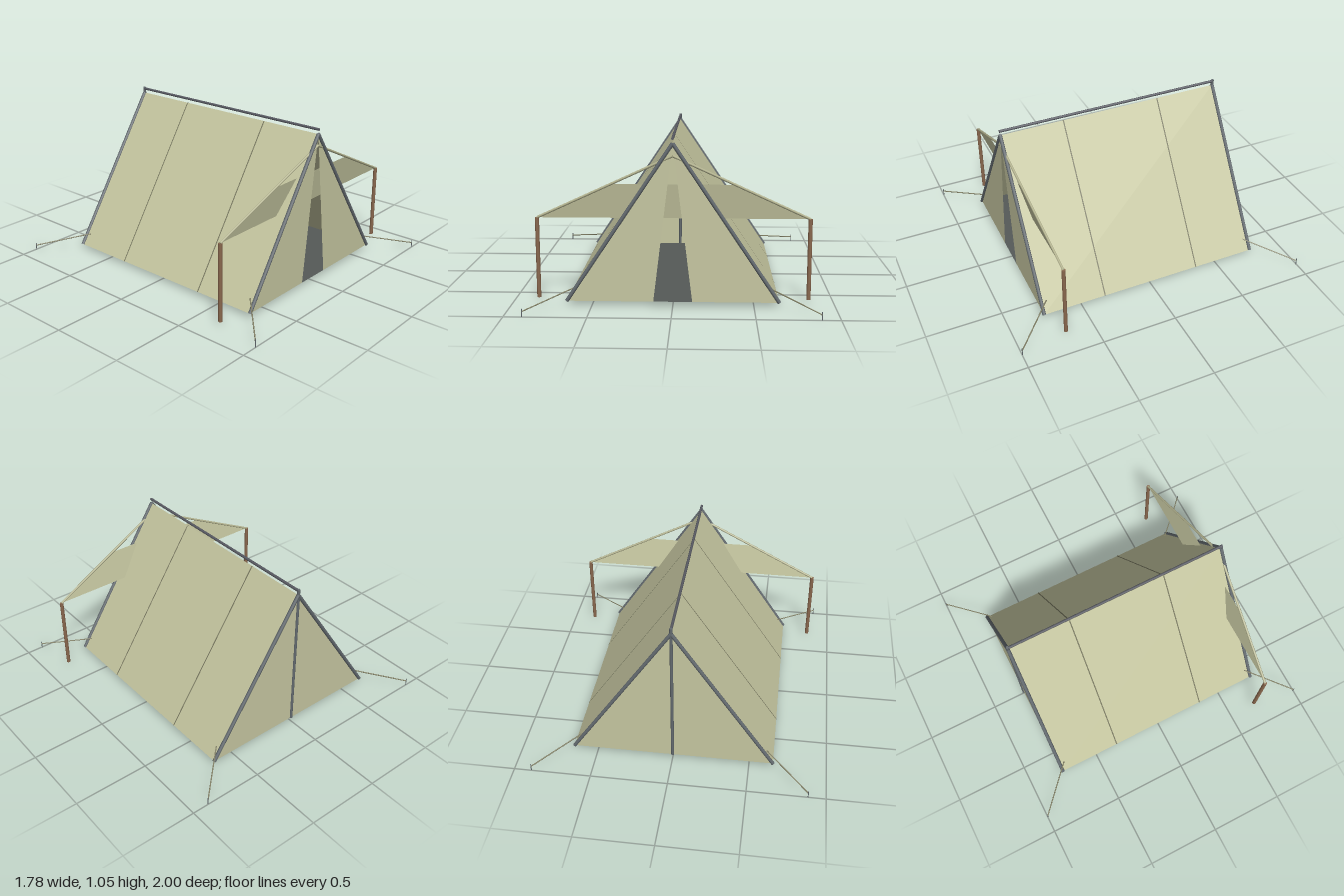
import * as THREE from 'three';

const mat = (name, color, side = THREE.FrontSide) => {
  const m = new THREE.MeshStandardMaterial({ color, side });
  m.name = name;
  return m;
};

export function createModel() {
  const canvas = mat('khaki canvas', 0xc5c6a0, THREE.DoubleSide);
  const trim = mat('khaki awning rod', 0xb4b490);
  const seamMat = mat('dark khaki seam', 0x77775f, THREE.DoubleSide);
  const metal = mat('grey frame metal', 0x646b70);
  const ridgeMetal = mat('dark ridge metal', 0x595b63);
  const wood = mat('brown wood', 0x8a684e);
  const rope = mat('rope', 0x8a886c);
  const ground = mat('dark groundsheet', 0x555a58, THREE.DoubleSide);

  const model = new THREE.Group();
  model.name = 'ridgeTent';

  const W = 0.655, D = 0.765, BASE = 0.03, TOP = 1.01;

  const add = (name, geometry, material) => {
    const mesh = new THREE.Mesh(geometry, material);
    mesh.name = name;
    model.add(mesh);
    return mesh;
  };

  // Flat convex sheet from its corners in order
  const sheet = (name, points, material) => {
    const g = new THREE.BufferGeometry();
    g.setAttribute('position', new THREE.Float32BufferAttribute(points.flat(), 3));
    const index = [];
    for (let i = 1; i < points.length - 1; i++) index.push(0, i, i + 1);
    g.setIndex(index);
    g.computeVertexNormals();
    return add(name, g, material);
  };

  // Round bar between two points
  const bar = (name, a, b, radius, material, sides = 8) => {
    const p = new THREE.Vector3(...a), q = new THREE.Vector3(...b);
    const dir = q.clone().sub(p);
    const mesh = add(name, new THREE.CylinderGeometry(radius, radius, dir.length(), sides), material);
    mesh.position.copy(p).add(q).multiplyScalar(0.5);
    mesh.quaternion.setFromUnitVectors(new THREE.Vector3(0, 1, 0), dir.normalize());
    return mesh;
  };

  // Groundsheet and back wall
  sheet('groundsheet', [[-W, BASE, D], [W, BASE, D], [W, BASE, -D], [-W, BASE, -D]], ground);
  sheet('backWall', [[W, BASE, -D], [-W, BASE, -D], [0, TOP, -D]], canvas);

  for (const s of [1, -1]) {
    const side = s > 0 ? 'left' : 'right';
    const order = (pts) => (s > 0 ? pts : pts.reverse());

    // Sloping roof and the front panel beside the narrow door gap
    sheet(side + 'Roof', order([[s * W, BASE, D], [s * W, BASE, -D], [0, TOP, -D], [0, TOP, D]]), canvas);
    sheet(side + 'FrontPanel', order([[s * 0.12, BASE, D], [s * W, BASE, D], [0, TOP, D]]), canvas);

    // Seams running down the roof
    for (const z of [0.338, -0.338]) {
      const w = 0.004, o = 0.002;
      sheet(side + 'RoofSeam', order([
        [s * (W + o), BASE, z + w], [s * (W + o), BASE, z - w],
        [s * o, TOP, z - w], [s * o, TOP, z + w]]), seamMat);
    }

    // Slanted frame poles at both ends
    for (const z of [D, -D])
      bar(side + 'FramePole', [s * W, BASE, z], [0, TOP, z], 0.012, metal);

    // Awning post and rod
    bar(side + 'AwningPost', [s * 0.84, BASE, 0.69], [s * 0.84, 0.54, 0.69], 0.013, wood);
    bar(side + 'AwningRod', [0, 0.935, 0.765], [s * 0.84, 0.54, 0.69], 0.008, trim);

    // Corner guy ropes and stakes
    for (const f of [1, -1]) {
      bar(side + 'GuyRope', [s * 0.61, 0.105, f * 0.73], [s * 0.888, 0.033, f * 0.997], 0.004, rope, 6);
      bar(side + 'Stake', [s * 0.888, 0, f * 0.997], [s * 0.888, 0.05, f * 0.997], 0.003, metal, 6);
    }
  }

  // Awning cloth spanning both rods
  sheet('awningCloth', [[-0.84, 0.54, 0.69], [0.84, 0.54, 0.69], [0.375, 0.757, 0.731], [-0.375, 0.757, 0.731]], canvas);

  // Ridge pole and rear upright
  bar('ridgePole', [0, 1.04, -0.77], [0, 1.04, 0.77], 0.009, ridgeMetal);
  bar('rearUpright', [0, BASE, -D], [0, 1.05, -D], 0.01, metal);

  return model;
}
